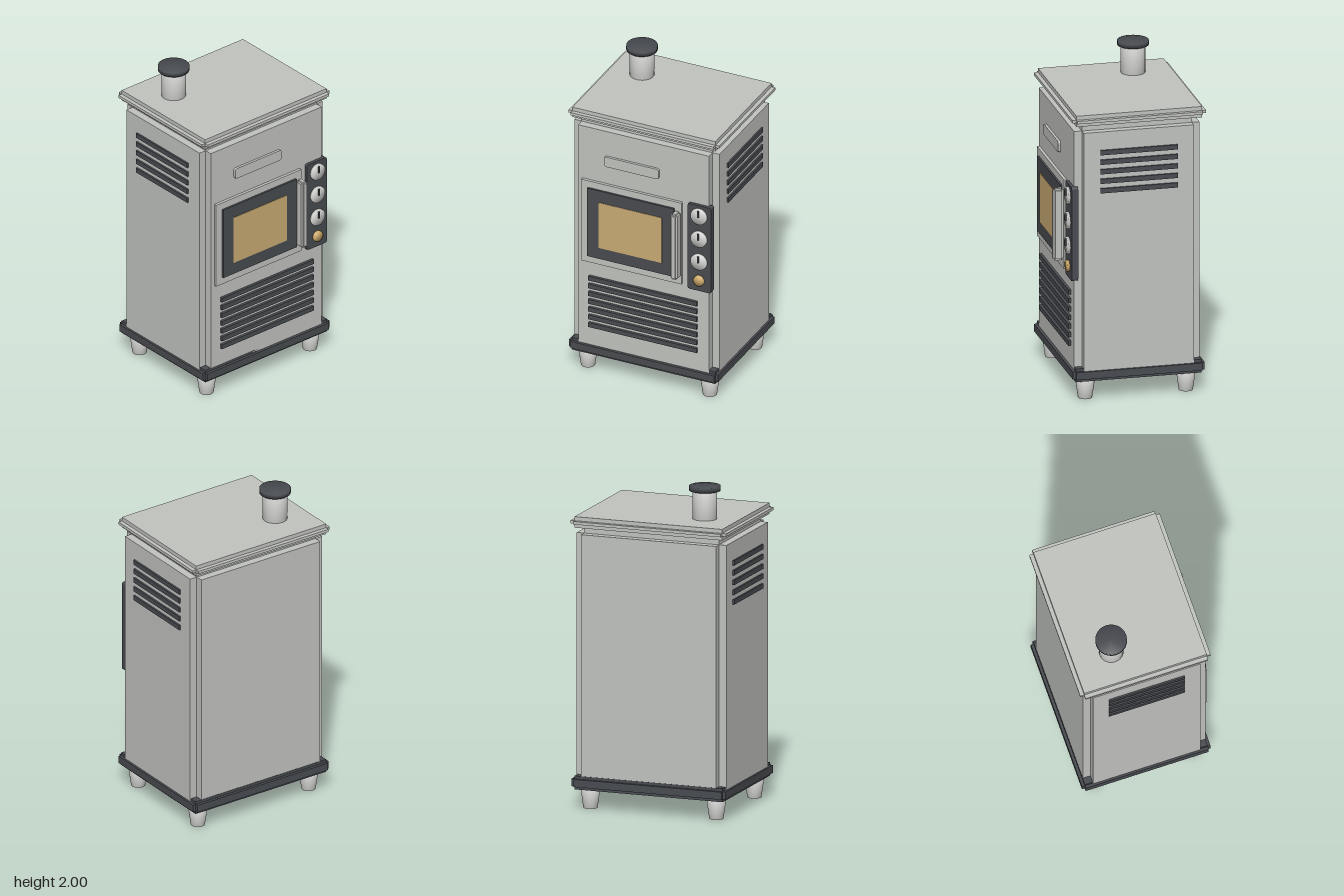
import * as THREE from 'three';
import { mergeVertices } from 'three/addons/utils/BufferGeometryUtils.js';

const mat = (name, color) => {
  const m = new THREE.MeshStandardMaterial({ color });
  m.name = name;
  return m;
};

export function createModel() {
  const enamel = mat('pale grey enamel', 0xc1c3bf);
  const dark = mat('charcoal iron', 0x484b50);
  const steel = mat('light steel', 0xd6d7d4);
  const amber = mat('amber glass', 0xc9ab74);
  const brass = mat('brass', 0xd2ad6c);

  const root = new THREE.Group();
  root.name = 'heatingStove';

  const add = (name, geometry, material, parent = root) => {
    const mesh = new THREE.Mesh(geometry, material);
    mesh.name = name;
    parent.add(mesh);
    return mesh;
  };

  // Box given by its extents on each axis
  const box = (name, x0, x1, y0, y1, z0, z1, material, parent) => {
    const mesh = add(name, new THREE.BoxGeometry(x1 - x0, y1 - y0, z1 - z0), material, parent);
    mesh.position.set((x0 + x1) / 2, (y0 + y1) / 2, (z0 + z1) / 2);
    return mesh;
  };

  // Box with stepped (notched) edges: three crossing boxes, each full size on one axis
  const steppedBox = (name, x0, x1, y0, y1, z0, z1, r, material) => {
    const group = new THREE.Group();
    group.name = name;
    root.add(group);
    box(name + 'Wide', x0, x1, y0 + r, y1 - r, z0 + r, z1 - r, material, group);
    box(name + 'Tall', x0 + r, x1 - r, y0, y1, z0 + r, z1 - r, material, group);
    box(name + 'Deep', x0 + r, x1 - r, y0 + r, y1 - r, z0, z1, material, group);
  };

  // Cylinder whose normals run smoothly over the rim
  const softCylinder = (name, rTop, rBottom, h, material) => {
    let g = new THREE.CylinderGeometry(rTop, rBottom, h, 24);
    g.deleteAttribute('normal');
    g.deleteAttribute('uv');
    g = mergeVertices(g, 1e-4);
    g.computeVertexNormals();
    return add(name, g, material);
  };

  // Upright plate with rounded corners
  const plate = (name, x0, x1, y0, y1, z0, z1, r, material) => {
    const s = new THREE.Shape();
    s.moveTo(x0 + r, y0);
    s.lineTo(x1 - r, y0);
    s.quadraticCurveTo(x1, y0, x1, y0 + r);
    s.lineTo(x1, y1 - r);
    s.quadraticCurveTo(x1, y1, x1 - r, y1);
    s.lineTo(x0 + r, y1);
    s.quadraticCurveTo(x0, y1, x0, y1 - r);
    s.lineTo(x0, y0 + r);
    s.quadraticCurveTo(x0, y0, x0 + r, y0);
    const g = new THREE.ExtrudeGeometry(s, { depth: z1 - z0, bevelEnabled: false, curveSegments: 4 });
    add(name, g, material).position.z = z0;
  };

  // Cabinet, plinth and lid
  steppedBox('cabinet', -0.482, 0.482, 0.119, 1.737, -0.415, 0.36, 0.048, enamel);
  steppedBox('plinth', -0.495, 0.495, 0.122, 0.205, -0.435, 0.378, 0.018, dark);
  steppedBox('lid', -0.5, 0.5, 1.73, 1.798, -0.445, 0.38, 0.025, enamel);

  // Tapered feet
  for (const x of [-0.405, 0.405])
    for (const z of [-0.337, 0.285])
      softCylinder('foot', 0.06, 0.043, 0.125, steel).position.set(x, 0.0625, z);

  // Flue pipe and cap
  softCylinder('fluePipe', 0.074, 0.074, 0.19, steel).position.set(-0.27, 1.885, -0.18);
  softCylinder('flueCap', 0.095, 0.095, 0.028, dark).position.set(-0.27, 1.986, -0.18);

  // Side louvres
  for (let i = 0; i < 5; i++) {
    const y = 1.56 - i * 0.06;
    box('leftLouvre', 0.47, 0.493, y - 0.015, y + 0.015, -0.267, 0.21, dark);
    box('rightLouvre', -0.493, -0.47, y - 0.015, y + 0.015, -0.267, 0.21, dark);
  }

  // Lower front grille
  for (let i = 0; i < 7; i++) {
    const y = 0.653 - i * 0.0537;
    box('frontLouvre', -0.36, 0.36, y - 0.015, y + 0.015, 0.35, 0.377, dark);
  }

  // Blank plate above the door
  plate('namePlate', -0.255, 0.106, 1.453, 1.521, 0.35, 0.376, 0.015, enamel);

  // Door, window and handle
  box('door', -0.407, 0.26, 0.767, 1.329, 0.35, 0.378, enamel);
  box('windowFrame', -0.361, 0.214, 0.814, 1.284, 0.37, 0.39, dark);
  box('windowGlass', -0.283, 0.136, 0.891, 1.204, 0.387, 0.393, amber);
  steppedBox('doorHandle', 0.214, 0.26, 0.822, 1.275, 0.378, 0.443, 0.012, enamel);

  // Control panel with three knobs and a lamp
  plate('controlPanel', 0.302, 0.458, 0.753, 1.342, 0.34, 0.38, 0.015, dark);
  for (const y of [1.272, 1.115, 0.958]) {
    const knob = softCylinder('knob', 0.053, 0.053, 0.025, steel);
    knob.rotation.x = Math.PI / 2;
    knob.position.set(0.38, y, 0.382);
    box('knobPointer', 0.375, 0.385, y - 0.002, y + 0.042, 0.39, 0.403, dark);
  }
  const lamp = softCylinder('indicatorLamp', 0.034, 0.034, 0.025, brass);
  lamp.rotation.x = Math.PI / 2;
  lamp.position.set(0.38, 0.828, 0.384);

  return root;
}
